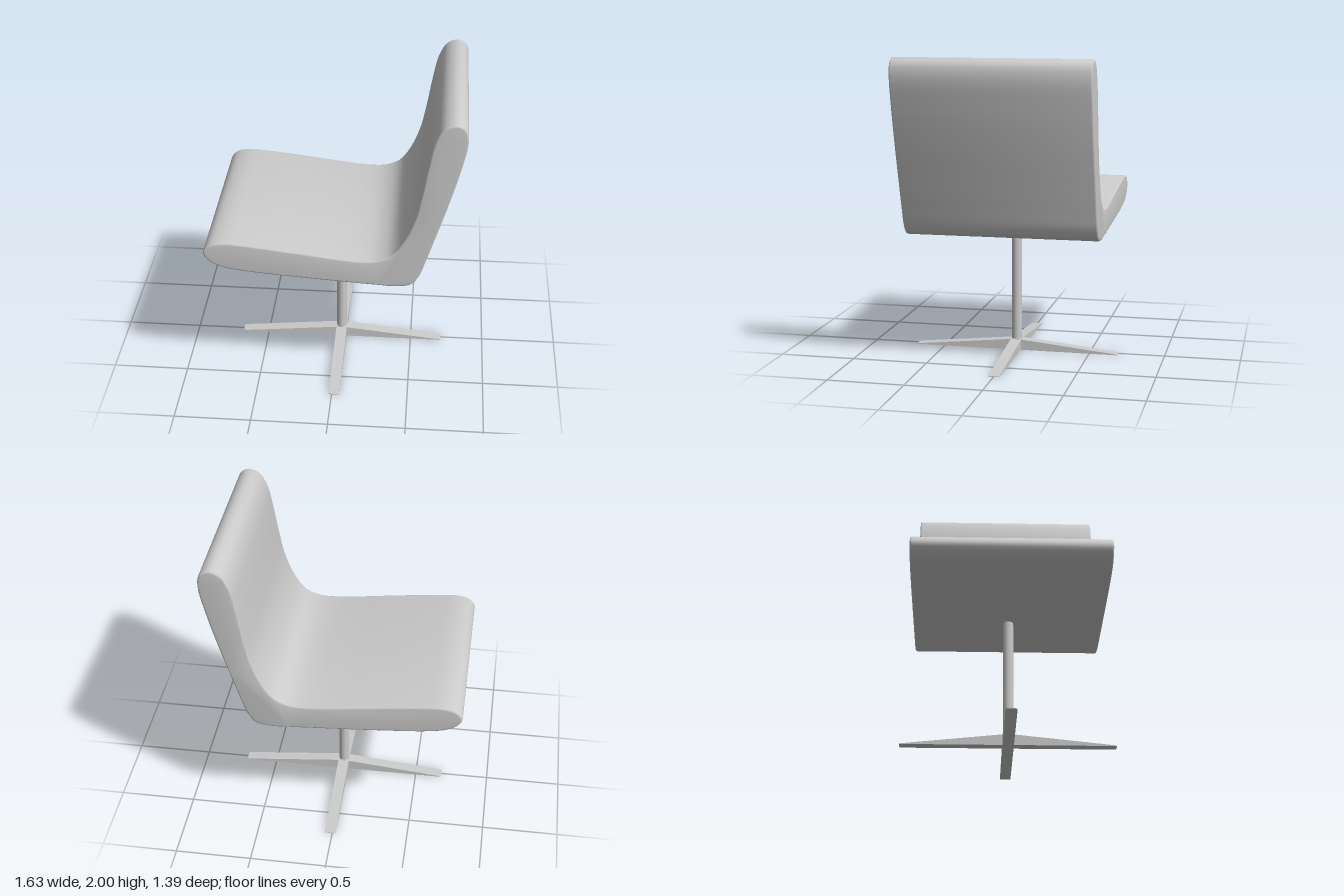
import * as THREE from 'three';
import { toCreasedNormals } from 'three/addons/utils/BufferGeometryUtils.js';

const HALF_WIDTH = 0.63, POST_X = 0.015;
const LEG_LENGTH = 0.695, LEG_HALF = 0.036, HUB_HEIGHT = 0.075, TIP_HEIGHT = 0.004;

// Side outline of the one-piece padded shell, from the front lip over the top and back underneath
const OUTLINE = [
  [-0.82, 1.03], [-0.785, 1.083], [-0.70, 1.108], [-0.55, 1.1], [-0.2, 1.06], [0, 1.035],
  [0.17, 1.02], [0.28, 1.027], [0.37, 1.068], [0.44, 1.16], [0.51, 1.33], [0.55, 1.52],
  [0.585, 1.73], [0.62, 1.885], [0.67, 1.972], [0.74, 2.0], [0.798, 1.97], [0.815, 1.89],
  [0.78, 1.7], [0.72, 1.47], [0.65, 1.235], [0.59, 1.04], [0.55, 0.925], [0.50, 0.86],
  [0.40, 0.84], [0.3, 0.844], [0, 0.862], [-0.4, 0.89], [-0.6, 0.91], [-0.72, 0.935], [-0.79, 0.977],
];

function shellGeometry() {
  const curve = new THREE.CatmullRomCurve3(OUTLINE.map(([x, y]) => new THREE.Vector3(x, y, 0)), true);
  const points = curve.getPoints(140).slice(0, -1).map((p) => new THREE.Vector2(p.x, p.y));
  const bevel = 0.012;
  const geometry = new THREE.ExtrudeGeometry(new THREE.Shape(points), {
    depth: 2 * (HALF_WIDTH - bevel),
    bevelThickness: bevel, bevelSize: bevel, bevelOffset: -bevel, bevelSegments: 3,
  });
  geometry.translate(0, 0, -(HALF_WIDTH - bevel));
  return toCreasedNormals(geometry, 0.75);
}

// Flat bar with rounded tip corners, its top sloping down from hub to tip
function legGeometry() {
  const r = 0.015, L = LEG_LENGTH, w = LEG_HALF;
  const plan = new THREE.Shape();
  plan.moveTo(0, -w);
  plan.lineTo(L - r, -w);
  plan.absarc(L - r, -w + r, r, -Math.PI / 2, 0);
  plan.absarc(L - r, w - r, r, 0, Math.PI / 2);
  plan.lineTo(0, w);
  const geometry = new THREE.ExtrudeGeometry(plan, { depth: 1, bevelEnabled: false, curveSegments: 4 });
  geometry.rotateX(-Math.PI / 2);
  const pos = geometry.attributes.position;
  for (let i = 0; i < pos.count; i++) {
    const height = THREE.MathUtils.lerp(HUB_HEIGHT, TIP_HEIGHT, pos.getX(i) / L);
    pos.setY(i, pos.getY(i) * height);
  }
  geometry.computeVertexNormals();
  return geometry;
}

export function createModel() {
  const chair = new THREE.Group();
  chair.name = 'chair';
  const material = new THREE.MeshStandardMaterial({ color: 0xcccccc });
  const add = (parent, name, geometry) => {
    const mesh = new THREE.Mesh(geometry, material);
    mesh.name = name;
    parent.add(mesh);
    return mesh;
  };

  // Seat and backrest
  add(chair, 'seatShell', shellGeometry());

  // Pedestal: post and four-armed base
  const pedestal = new THREE.Group();
  pedestal.name = 'pedestal';
  pedestal.position.x = POST_X;
  chair.add(pedestal);

  const postHeight = 0.89;
  add(pedestal, 'post', new THREE.CylinderGeometry(0.034, 0.034, postHeight, 20)).position.y = postHeight / 2;

  const leg = legGeometry();
  for (let i = 0; i < 4; i++) add(pedestal, `baseLeg${i + 1}`, leg).rotation.y = i * Math.PI / 2;

  return chair;
}
